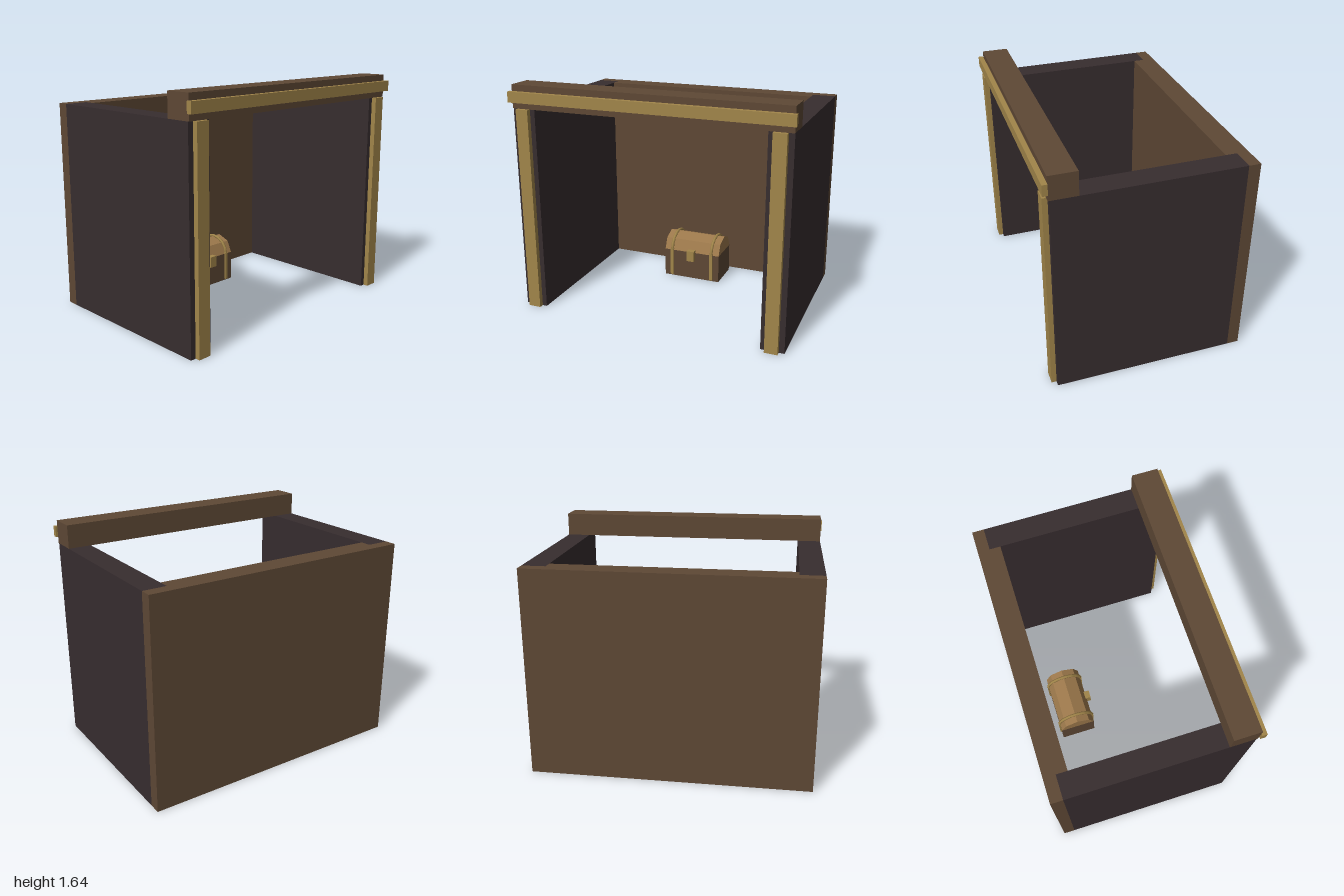
import * as THREE from 'three';

const material = (name, color) => {
  const m = new THREE.MeshStandardMaterial({ color });
  m.name = name;
  return m;
};

export function createModel() {
  const wood = material('dark brown wood', 0x5e4835);
  const dark = material('charcoal', 0x372d2f);
  const gold = material('brass', 0xa1854a);
  const tan = material('tan wood', 0x9c784b);

  const group = new THREE.Group();
  const add = (parent, name, geometry, mat) => {
    const mesh = new THREE.Mesh(geometry, mat);
    mesh.name = name;
    parent.add(mesh);
    return mesh;
  };
  // Box given by its minimum and maximum corners
  const box = (parent, name, mat, [x0, y0, z0], [x1, y1, z1]) => {
    const g = new THREE.BoxGeometry(x1 - x0, y1 - y0, z1 - z0);
    g.translate((x0 + x1) / 2, (y0 + y1) / 2, (z0 + z1) / 2);
    return add(parent, name, g, mat);
  };

  // Back wall: outer slab, and a thickness that fits between the side walls
  box(group, 'backWall', wood, [-0.985, 0, -0.693], [0.985, 1.48, -0.61]);
  box(group, 'backWallInner', wood, [-0.82, 0, -0.61], [0.82, 1.48, -0.533]);

  // Side walls and the posts on their front ends
  for (const s of [-1, 1]) {
    const side = s > 0 ? 'left' : 'right';
    const wall = box(group, side + 'Wall', dark, [-0.0825, 0, -0.61], [0.0825, 1.48, 0.65]);
    wall.position.x = s * 0.9025;
    const post = box(group, side + 'Post', gold, [-0.046, 0, 0.65], [0.046, 1.48, 0.685]);
    post.position.x = s * 0.901;
  }

  // Beam over the opening with its trim
  box(group, 'lintel', wood, [-0.985, 1.48, 0.472], [0.985, 1.645, 0.658]);
  box(group, 'lintelTrim', gold, [-1, 1.525, 0.658], [1, 1.6, 0.693]);

  // Chest
  const chest = new THREE.Group();
  chest.name = 'chest';
  chest.position.z = -0.343;
  group.add(chest);
  const r = 0.134, lidBase = 0.22, squash = 0.9;
  box(chest, 'chestBody', wood, [-0.227, 0, -r], [0.227, lidBase, r]);

  // Four-faceted arched lid
  const points = [];
  for (let i = 0; i <= 4; i++) {
    const a = (i / 4) * Math.PI;
    points.push(new THREE.Vector2(r * Math.cos(a), squash * r * Math.sin(a)));
  }
  const lid = new THREE.ExtrudeGeometry(new THREE.Shape(points), { depth: 0.454, bevelEnabled: false });
  lid.translate(0, 0, -0.227).rotateY(Math.PI / 2).translate(0, lidBase, 0);
  add(chest, 'chestLid', lid, tan);

  // Straps: upright bands on front and back, and a hoop over the lid
  for (const s of [-1, 1]) {
    const strap = new THREE.Group();
    strap.name = s > 0 ? 'leftStrap' : 'rightStrap';
    strap.position.x = s * 0.165;
    chest.add(strap);
    box(strap, 'frontBand', gold, [-0.013, 0.01, r - 0.005], [0.013, 0.23, r + 0.011]);
    box(strap, 'backBand', gold, [-0.013, 0.01, -r - 0.011], [0.013, 0.23, -r + 0.005]);
    const hoop = new THREE.TorusGeometry(r + 0.003, 0.012, 6, 8, Math.PI);
    hoop.scale(1, squash, 1).rotateY(Math.PI / 2).translate(0, lidBase, 0);
    add(strap, 'hoop', hoop, gold);
  }
  box(chest, 'lock', gold, [-0.03, 0.155, r - 0.01], [0.03, 0.24, r + 0.034]);

  return group;
}
